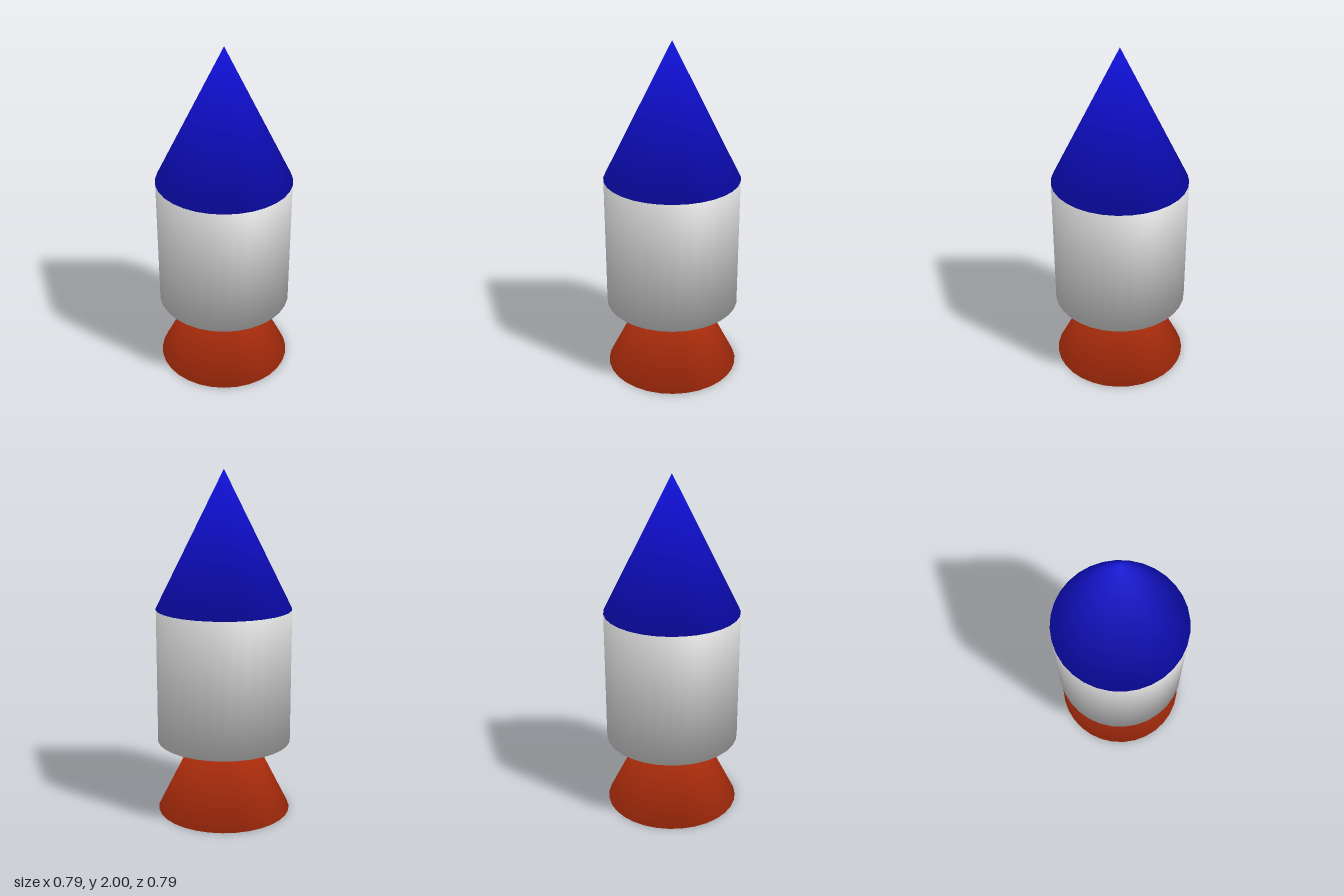
import * as THREE from 'three';

const R = 0.393, H = 2 * R, SIDES = 32;

// Capped cylinder or cone whose rims are shaded softly, blending wall and cap normals
function softSolid(name, topRadius, bottomY, color) {
  const geo = new THREE.CylinderGeometry(topRadius, R, H, SIDES);
  const pos = geo.attributes.position, normal = geo.attributes.normal;
  const wall = new THREE.Vector2(H, R - topRadius).normalize();
  const n = new THREE.Vector3();
  for (let i = 0; i < pos.count; i++) {
    const x = pos.getX(i) / R, z = pos.getZ(i) / R, top = pos.getY(i) > 0;
    if (top && topRadius === 0) n.set(0, 1, 0);
    else {
      const rim = new THREE.Vector2(wall.x, wall.y + (top ? 1 : -1)).normalize();
      n.set(x * rim.x, rim.y, z * rim.x); // cap centres keep only the vertical part
    }
    normal.setXYZ(i, n.x, n.y, n.z);
  }
  const mesh = new THREE.Mesh(geo, new THREE.MeshStandardMaterial({ color }));
  mesh.name = name;
  mesh.position.y = bottomY + H / 2;
  return mesh;
}

export function createModel() {
  const rocket = new THREE.Group();
  rocket.name = 'rocket';
  rocket.add(
    softSolid('noseCone', 0, 2 - H, 0x1010d8),
    softSolid('body', R, 2 - 2 * H, 0xcccccc),
    softSolid('engineCone', 0, 0, 0xd43911) // its tip sits inside the body
  );
  return rocket;
}
